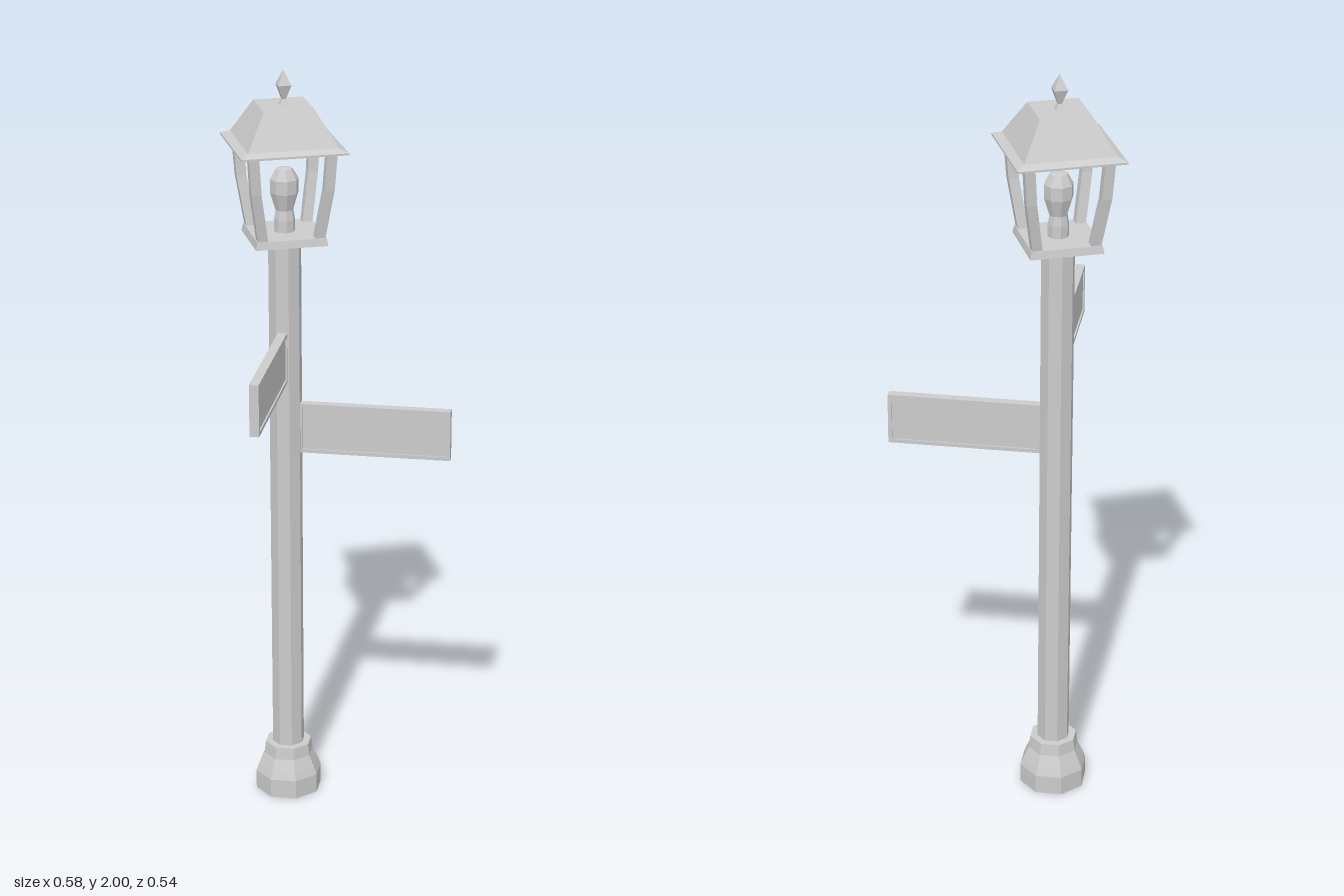
import * as THREE from 'three';

const material = new THREE.MeshStandardMaterial({ color: 0xcccccc, flatShading: true });

function addMesh(parent, name, geometry, x = 0, y = 0, z = 0) {
  const mesh = new THREE.Mesh(geometry, material);
  mesh.name = name;
  mesh.position.set(x, y, z);
  parent.add(mesh);
  return mesh;
}

// Faceted solid from [radius, y] pairs, bottom to top
function turned(profile, sides = 8) {
  return new THREE.LatheGeometry(profile.map(([r, y]) => new THREE.Vector2(r, y)), sides);
}

// Square-plan solid from [half width, y] pairs, sides aligned with x and z
function squared(profile) {
  const points = profile.map(([h, y]) => new THREE.Vector2(h * Math.SQRT2, y));
  return new THREE.LatheGeometry(points, 4, Math.PI / 4);
}

// Corner post that bends inward towards the lantern floor
function postGeometry(sx, sz) {
  const width = 0.026, bottom = 1.58, top = 1.815;
  const geometry = new THREE.BoxGeometry(width, top - bottom, width, 1, 2, 1);
  const p = geometry.attributes.position;
  for (let i = 0; i < p.count; i++) {
    const level = Math.round((p.getY(i) / (top - bottom) + 0.5) * 2);
    const offset = [0.086, 0.106, 0.113][level] - width / 2;
    const y = [bottom, 1.71, top][level];
    p.setXYZ(i, p.getX(i) + sx * offset, y, p.getZ(i) + sz * offset);
  }
  return geometry;
}

// Sign board with a thin raised border, pointing out from the pole
function addSign(parent, name, y, angle) {
  const sign = new THREE.Group();
  sign.name = name;
  sign.position.y = y;
  sign.rotation.y = angle;
  parent.add(sign);
  const start = 0.036, end = 0.433, height = 0.135, depth = 0.024, border = 0.01;
  const length = end - start, mid = (start + end) / 2;
  addMesh(sign, 'signPanel', new THREE.BoxGeometry(length - border, height - border, depth - 0.008), mid);
  for (const s of [-1, 1]) {
    addMesh(sign, 'signRail', new THREE.BoxGeometry(length, border, depth), mid, s * (height - border) / 2);
    addMesh(sign, 'signEnd', new THREE.BoxGeometry(border, height - 2 * border, depth), mid + s * (length - border) / 2);
  }
}

export function createModel() {
  const model = new THREE.Group();
  model.name = 'signpostLamp';
  const lamp = new THREE.Group();
  lamp.name = 'lampPost';
  lamp.position.set(-0.115, 0, -0.136);
  model.add(lamp);

  // Flared foot and octagonal pole
  addMesh(lamp, 'base', turned([[0, 0], [0.09, 0], [0.09, 0.052], [0.082, 0.072], [0.067, 0.105], [0.063, 0.138], [0, 0.138]]));
  addMesh(lamp, 'pole', turned([[0, 0.1], [0.043, 0.1], [0.043, 1.57], [0, 1.57]]));

  // Lantern cage
  const lantern = new THREE.Group();
  lantern.name = 'lantern';
  lamp.add(lantern);
  addMesh(lantern, 'lanternFloor', squared([[0, 1.564], [0.093, 1.564], [0.089, 1.584], [0, 1.584]]));
  for (const sx of [-1, 1]) for (const sz of [-1, 1]) {
    addMesh(lantern, 'lanternPost', postGeometry(sx, sz));
  }

  // Bulb in its socket
  addMesh(lantern, 'bulb', turned([[0, 1.58], [0.027, 1.58], [0.027, 1.615], [0.023, 1.64],
    [0.037, 1.685], [0.037, 1.72], [0.022, 1.747], [0, 1.75]]));

  // Roof with eaves, and the finial on top
  addMesh(lantern, 'roof', squared([[0, 1.808], [0.136, 1.808], [0.136, 1.813], [0.115, 1.822], [0.064, 1.912], [0, 1.912]]));
  addMesh(lantern, 'finial', squared([[0, 1.91], [0.012, 1.91], [0.005, 1.926], [0.017, 1.962], [0, 2]]));

  // Two direction boards, each square to a face of the pole
  addSign(lamp, 'lowerSign', 1.053, -Math.PI / 8);
  addSign(lamp, 'upperSign', 1.255, -5 * Math.PI / 8);
  return model;
}
